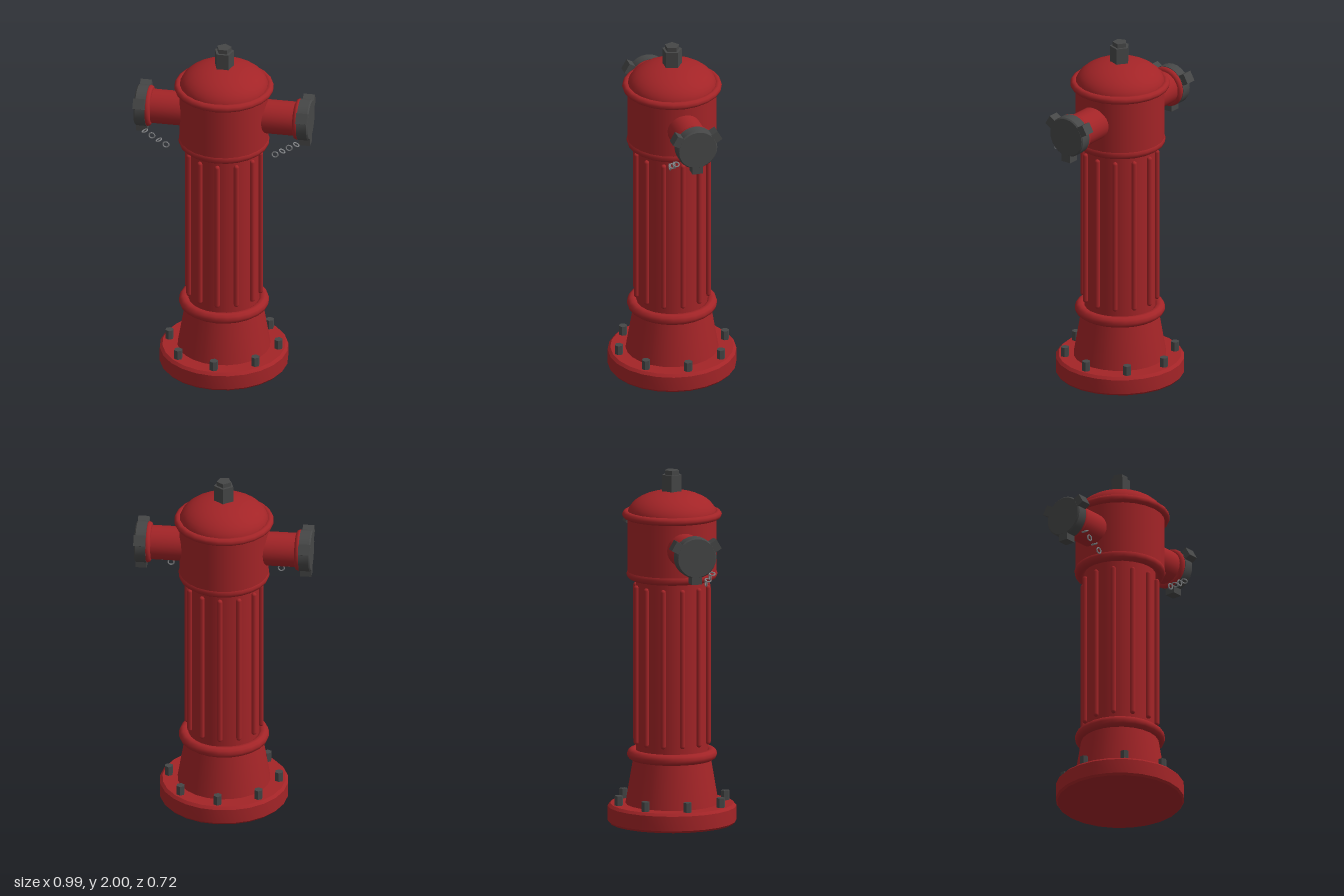
import * as THREE from 'three';
import { toCreasedNormals } from 'three/addons/utils/BufferGeometryUtils.js';

const SIDES = 24;

export function createModel() {
  const red = new THREE.MeshStandardMaterial({ color: 0xa32427 });
  red.name = 'red paint';
  const iron = new THREE.MeshStandardMaterial({ color: 0x464747 });
  iron.name = 'dark iron';
  const steel = new THREE.MeshStandardMaterial({ color: 0x85878a });
  steel.name = 'chain steel';

  const model = new THREE.Group();
  model.name = 'fireHydrant';

  const add = (parent, name, geometry, material, x = 0, y = 0, z = 0) => {
    const mesh = new THREE.Mesh(geometry, material);
    mesh.name = name;
    mesh.position.set(x, y, z);
    parent.add(mesh);
    return mesh;
  };
  // Upright cylinder between two heights
  const column = (name, rBottom, rTop, y0, y1, material = red, sides = SIDES) =>
    add(model, name, new THREE.CylinderGeometry(rTop, rBottom, y1 - y0, sides), material, 0, (y0 + y1) / 2);
  const turned = (points, sides = SIDES) =>
    toCreasedNormals(new THREE.LatheGeometry(points.map(([r, y]) => new THREE.Vector2(r, y)), sides), 0.6);
  const ring = (name, y, radius, tube) => {
    add(model, name, new THREE.TorusGeometry(radius, tube, 10, SIDES), red, 0, y).rotation.x = Math.PI / 2;
  };

  // Base flange with bolts
  add(model, 'baseFlange', turned([[0, 0], [0.35, 0], [0.36, 0.012], [0.36, 0.095], [0.345, 0.11], [0, 0.11]]), red);
  for (let i = 0; i < 8; i++) {
    const a = (i * Math.PI) / 4;
    add(model, 'flangeBolt', new THREE.CylinderGeometry(0.024, 0.024, 0.065, 6).toNonIndexed(), iron,
      Math.sin(a) * 0.31, 0.132, Math.cos(a) * 0.31).geometry.computeVertexNormals();
  }

  // Body
  column('taperedFoot', 0.262, 0.213, 0.1, 0.39);
  ring('lowerRing', 0.39, 0.222, 0.031);
  column('barrel', 0.2, 0.2, 0.38, 1.43);
  for (let i = 0; i < 12; i++) {
    const a = (i * Math.PI) / 6;
    add(model, 'barrelRib', new THREE.CapsuleGeometry(0.015, 0.875, 4, 8), red,
      Math.sin(a) * 0.208, 0.902, Math.cos(a) * 0.208);
  }
  ring('middleRing', 1.413, 0.225, 0.03);
  column('head', 0.25, 0.25, 1.41, 1.75);
  ring('upperRing', 1.75, 0.257, 0.022);

  // Domed bonnet and five-sided operating nut
  const dome = new THREE.SphereGeometry(0.25, SIDES, 10, 0, Math.PI * 2, 0, Math.PI / 2);
  dome.scale(1, 0.135 / 0.25, 1);
  add(model, 'bonnet', dome, red, 0, 1.75);
  const nutGeometry = (r, h) => toCreasedNormals(new THREE.CylinderGeometry(r, r, h, 5), 0.3);
  add(model, 'operatingNut', nutGeometry(0.057, 0.115), iron, 0, 1.9175).rotation.y = Math.PI;
  add(model, 'operatingNutTip', nutGeometry(0.042, 0.03), iron, 0, 1.985).rotation.y = Math.PI;

  // Side outlets: local +y of each outlet points away from the body
  for (const side of [1, -1]) {
    const outlet = new THREE.Group();
    outlet.name = side > 0 ? 'leftOutlet' : 'rightOutlet';
    outlet.position.y = 1.585;
    outlet.rotation.z = (-side * Math.PI) / 2;
    model.add(outlet);

    add(outlet, 'nozzle', new THREE.CylinderGeometry(0.096, 0.096, 0.25, SIDES), red, 0, 0.3);
    add(outlet, 'nozzleLip', new THREE.TorusGeometry(0.096, 0.02, 8, SIDES), red, 0, 0.424).rotation.x = Math.PI / 2;
    add(outlet, 'cap', turned([[0, 0.43], [0.116, 0.43], [0.116, 0.488], [0.109, 0.495], [0, 0.495]]), iron);

    // Three lugs, one pointing straight down
    for (let i = 0; i < 3; i++) {
      const holder = new THREE.Group();
      holder.name = 'capLug';
      holder.rotation.y = (i * Math.PI * 2) / 3;
      outlet.add(holder);
      add(holder, 'lug', new THREE.BoxGeometry(0.06, 0.063, 0.06), iron, side * 0.12, 0.463, 0);
    }

    // Short hanging chain of alternating links
    const chain = new THREE.Group();
    chain.name = side > 0 ? 'leftChain' : 'rightChain';
    model.add(chain);
    for (let i = 0; i < 4; i++) {
      const link = add(chain, 'chainLink', new THREE.TorusGeometry(0.0165, 0.004, 6, 14), steel,
        side * (0.43 - i * 0.04), 1.48 - i * 0.025, 0.107);
      if (i % 2 === 0) link.rotation.set(Math.PI / 2, side * -0.42, 0);
    }
  }
  return model;
}
